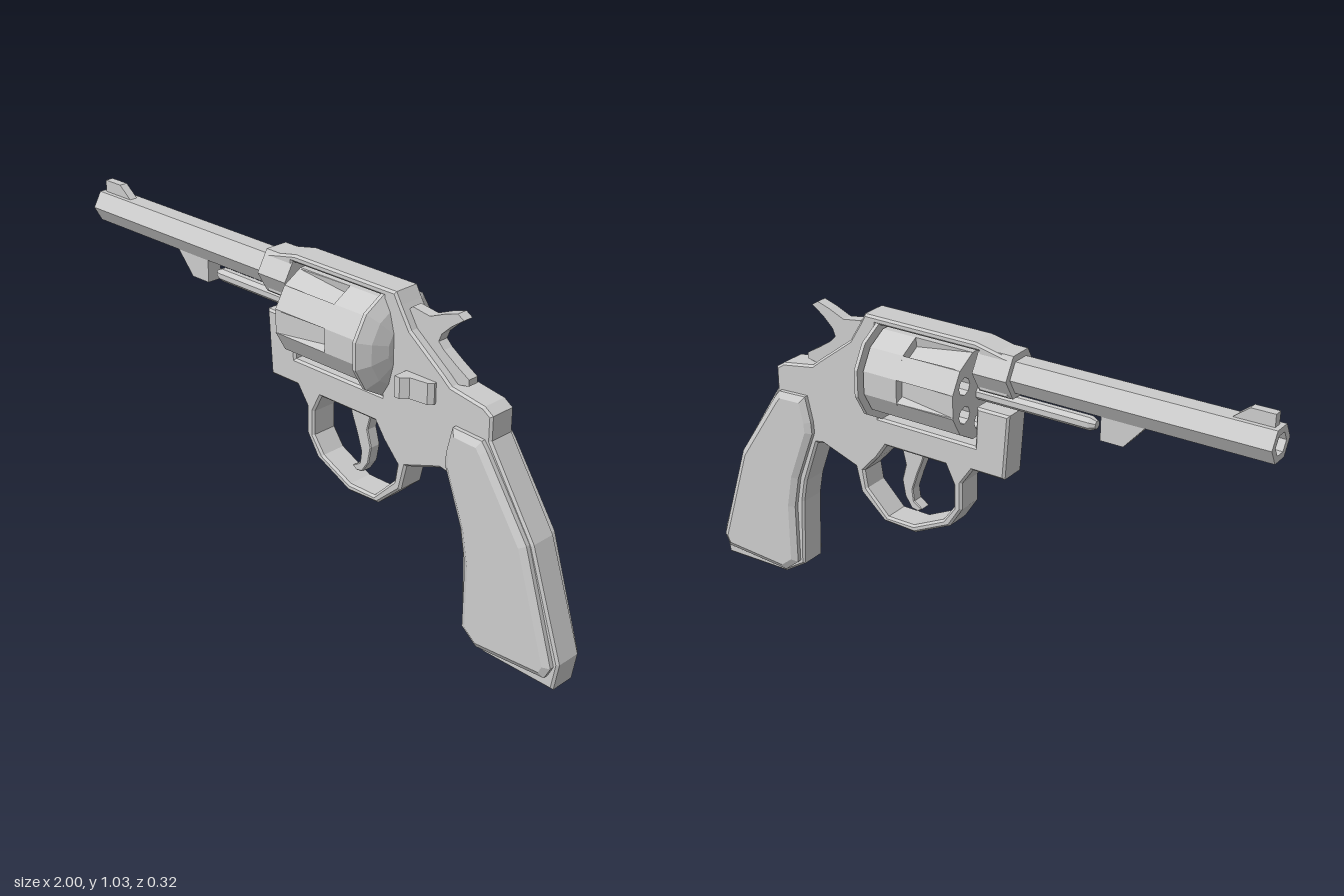
import * as THREE from 'three';

const material = new THREE.MeshStandardMaterial({ color: 0xcccccc, flatShading: true });
const points = (list) => list.map(([x, y]) => new THREE.Vector2(x, y));

// Regular polygon outline
function ring(sides, radius, turn = 0, cx = 0, cy = 0) {
  return Array.from({ length: sides }, (_, i) => {
    const a = turn + (i / sides) * Math.PI * 2;
    return [cx + radius * Math.cos(a), cy + radius * Math.sin(a)];
  });
}

// Outline runs counter-clockwise and holes clockwise, so every wall faces out
function makeShape(outline, holes = []) {
  const wound = (list, clockwise) => {
    const path = points(list);
    return THREE.ShapeUtils.isClockWise(path) === clockwise ? path : path.reverse();
  };
  const shape = new THREE.Shape(wound(outline, false));
  for (const hole of holes) shape.holes.push(new THREE.Path(wound(hole, true)));
  return shape;
}

export function createModel() {
  const model = new THREE.Group();
  model.name = 'revolver';

  function add(name, geometry, x = 0, y = 0) {
    const mesh = new THREE.Mesh(geometry, material);
    mesh.name = name;
    mesh.position.set(x, y, 0);
    model.add(mesh);
  }

  // Side profile centred on z = 0, chamfered inside its outline
  function plate(name, outline, halfWidth, bevel = 0, bevelDepth = bevel, holes = []) {
    const depth = 2 * (halfWidth - bevelDepth);
    const geometry = new THREE.ExtrudeGeometry(makeShape(outline, holes), {
      depth, bevelEnabled: bevel > 0, bevelSize: bevel, bevelOffset: -bevel,
      bevelThickness: bevelDepth, bevelSegments: 1,
    });
    geometry.translate(0, 0, -depth / 2);
    add(name, geometry);
  }

  // Cross-section pushed along x
  function along(outline, holes, length) {
    const geometry = new THREE.ExtrudeGeometry(makeShape(outline, holes), { depth: length, bevelEnabled: false });
    return geometry.rotateY(Math.PI / 2);
  }

  // Frame with top strap, cylinder window, trigger guard and grip core
  const frame = [
    [-0.17, 1.0], [-0.05, 1.025], [0.355, 1.025], [0.375, 0.99], [0.415, 0.925], [0.54, 0.83],
    [0.57, 0.805], [0.69, 0.785], [0.72, 0.765], [0.72, 0.69], [0.885, 0.43], [1.0, 0.09],
    [0.985, 0], [0.73, 0.005], [0.645, 0.06], [0.635, 0.3], [0.62, 0.38], [0.565, 0.535],
    [0.54, 0.54], [0.41, 0.495], [0.39, 0.41], [0.3, 0.33], [0.18, 0.325], [0.045, 0.39],
    [0, 0.46], [0, 0.55], [-0.04, 0.607], [-0.155, 0.607], [-0.17, 0.82], [-0.055, 0.82],
    [-0.05, 0.69], [0.31, 0.69], [0.31, 1.0], [-0.06, 1.0], [-0.06, 0.875], [-0.17, 0.875],
  ];
  const guardOpening = [
    [0.03, 0.54], [0.06, 0.6], [0.285, 0.6], [0.32, 0.55], [0.375, 0.49],
    [0.365, 0.43], [0.285, 0.35], [0.185, 0.35], [0.07, 0.405], [0.03, 0.46],
  ];
  plate('frame', frame, 0.048, 0.007, 0.007, [guardOpening]);

  // Grip panels standing proud of both sides
  plate('gripPanels', [
    [0.595, 0.695], [0.7, 0.69], [0.72, 0.665], [0.875, 0.43], [0.985, 0.08], [0.965, 0.04],
    [0.715, 0.025], [0.66, 0.07], [0.66, 0.28], [0.64, 0.39], [0.572, 0.57], [0.575, 0.61],
  ], 0.075, 0.02, 0.013);

  // Hexagonal barrel with bore, and the thicker block behind it
  add('barrel', along(ring(6, 0.057), [ring(6, 0.034)], 0.9), -1, 0.94);
  add('barrelBlock', along(ring(6, 0.078), [], 0.118), -0.178, 0.942);
  plate('frontSight', [[-0.985, 0.98], [-0.985, 1.028], [-0.91, 1.028], [-0.855, 0.985]], 0.014);
  plate('barrelLug', [[-0.615, 0.9], [-0.54, 0.815], [-0.465, 0.815], [-0.465, 0.9]], 0.026);

  // Ejector rod with a tapered tip
  const rod = new THREE.LatheGeometry(
    points([[0, -0.44], [0.013, -0.44], [0.022, -0.42], [0.022, -0.02], [0, -0.02]]), 8, Math.PI / 8);
  rod.rotateZ(-Math.PI / 2);
  add('ejectorRod', rod, 0, 0.848);

  // Twelve-sided cylinder: alternate faces are fluted, chambers lie between
  const axisY = 0.848;
  const fluted = [];
  const chambers = [];
  for (let i = 0; i < 6; i++) {
    const a = (i * Math.PI) / 3;
    const polar = (u, v) => [u * Math.cos(a) - v * Math.sin(a), u * Math.sin(a) + v * Math.cos(a)];
    fluted.push(polar(0.14, -0.0375), polar(0.1395, -0.033), polar(0.1395, 0.033), polar(0.14, 0.0375));
    const c = a + Math.PI / 6;
    chambers.push(ring(8, 0.028, 0, 0.092 * Math.cos(c), 0.092 * Math.sin(c)));
  }
  const flutes = along(fluted, chambers, 0.205);
  // Flute floors slope inwards towards the rear
  const position = flutes.attributes.position;
  for (let i = 0; i < position.count; i++) {
    const y = position.getY(i);
    const z = position.getZ(i);
    const radius = Math.hypot(y, z);
    if (position.getX(i) > 0.1 && radius > 0.13 && radius < 0.144) {
      position.setY(i, y * 0.79);
      position.setZ(i, z * 0.79);
    }
  }
  add('flutedCylinder', flutes, -0.035, axisY);
  add('cylinderRear', along(ring(12, 0.145, Math.PI / 12), [], 0.122), 0.17, axisY);

  // Domed recoil shield behind the cylinder
  const shield = new THREE.LatheGeometry(
    points([[0, 0.3], [0.165, 0.3], [0.165, 0.312], [0.125, 0.338], [0.07, 0.354], [0, 0.356]]),
    12, Math.PI / 12);
  shield.rotateZ(-Math.PI / 2);
  add('recoilShield', shield, 0, axisY);

  // Trigger and hammer
  plate('trigger', [
    [0.15, 0.62], [0.165, 0.57], [0.185, 0.52], [0.205, 0.46], [0.2, 0.42], [0.17, 0.4],
    [0.185, 0.388], [0.21, 0.392], [0.235, 0.43], [0.245, 0.485], [0.23, 0.54], [0.25, 0.62],
  ], 0.02, 0.003);
  plate('hammer', [
    [0.36, 0.95], [0.395, 0.985], [0.46, 0.975], [0.515, 0.998], [0.56, 1.012], [0.583, 0.998],
    [0.54, 0.968], [0.505, 0.935], [0.495, 0.91], [0.515, 0.89], [0.56, 0.86], [0.61, 0.83],
    [0.61, 0.81], [0.5, 0.79], [0.4, 0.88],
  ], 0.018);

  // Cylinder release latch on one side only
  const latch = new THREE.ExtrudeGeometry(makeShape([
    [0.405, 0.04], [0.405, 0.098], [0.425, 0.098], [0.445, 0.078], [0.505, 0.07], [0.518, 0.055], [0.518, 0.04],
  ]), { depth: 0.066, bevelEnabled: false });
  latch.rotateX(Math.PI / 2);
  add('releaseLatch', latch, 0, 0.802);

  return model;
}
